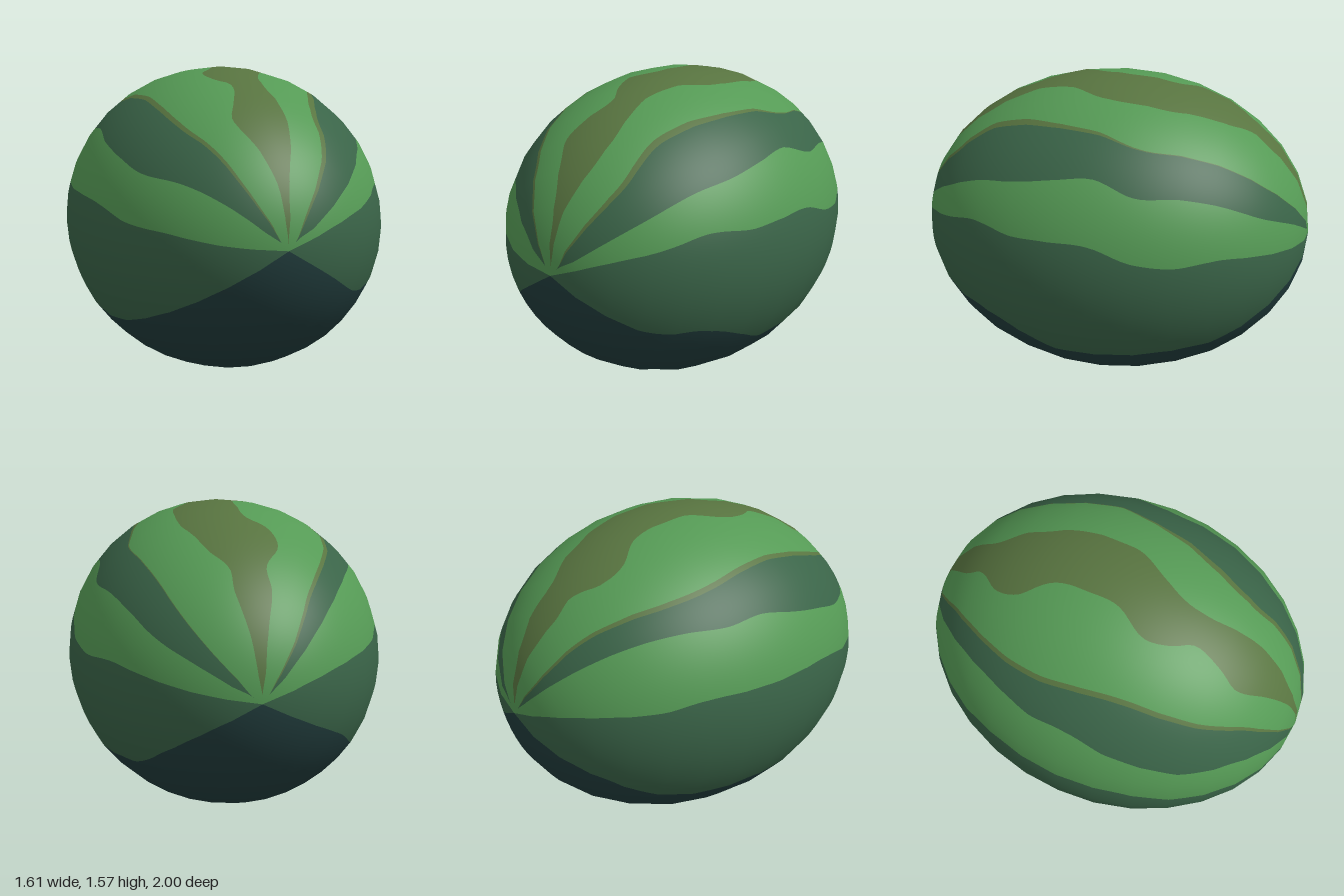
import * as THREE from 'three';

const RX = 0.805, RY = 0.785, RZ = 1;
const ROWS = 96, COLS = 12, STEP = Math.PI / 16;

const mat = (name, color) => {
  const m = new THREE.MeshStandardMaterial({ color });
  m.name = name;
  return m;
};

// Trig values along a coarse polygon, so the rind keeps its slightly faceted outline
const faceted = (fn) => (a) => {
  const k = Math.floor(a / STEP + 1e-9), f = a / STEP - k;
  return fn(k * STEP) * (1 - f) + fn((k + 1) * STEP) * f;
};
const fcos = faceted(Math.cos), fsin = faceted(Math.sin);

// Smooth curve of angle (degrees from the top) along the melon, front to back
const KEYS = [-0.97, -0.8, -0.6, -0.4, -0.2, 0, 0.2, 0.4, 0.6, 0.8, 0.97];
const curve = (values, keys = KEYS) => {
  const c = new THREE.CubicInterpolant(keys, values, 1, [0]);
  return (t) => c.evaluate(t)[0];
};
const plus = (f, g) => (t) => f(t) + g(t);
const neg = (f) => (t) => -f(t);

// Stripe pair that closes to a point just before each end
function pinch(f, g, mid, end) {
  const k = (t) => {
    const r = Math.sqrt(Math.max(0, 1 - t * t));
    return Math.sqrt(THREE.MathUtils.clamp((r - end) / 0.1, 0, 1));
  };
  const close = (h) => (t) => mid(t) + (h(t) - mid(t)) * k(t);
  return [close(f), close(g)];
}

// One band of rind between two angle curves
function band(name, from, to, material) {
  const pos = [], nor = [], idx = [];
  const n = new THREE.Vector3();
  for (let r = 0; r <= ROWS; r++) {
    const phi = (r / ROWS) * Math.PI, t = -Math.cos(phi);
    const a0 = from(t), a1 = to(t);
    for (let c = 0; c <= COLS; c++) {
      const a = THREE.MathUtils.degToRad(a0 + ((a1 - a0) * c) / COLS);
      const s = fsin(phi);
      pos.push(RX * s * fsin(a), RY + RY * s * fcos(a), RZ * fcos(phi));
      n.set(Math.sin(phi) * Math.sin(a) / RX, Math.sin(phi) * Math.cos(a) / RY, Math.cos(phi) / RZ).normalize();
      nor.push(n.x, n.y, n.z);
      if (r < ROWS && c < COLS) {
        const i = r * (COLS + 1) + c, j = i + COLS + 1;
        idx.push(i, i + 1, j, i + 1, j + 1, j);
      }
    }
  }
  const g = new THREE.BufferGeometry();
  g.setAttribute('position', new THREE.Float32BufferAttribute(pos, 3));
  g.setAttribute('normal', new THREE.Float32BufferAttribute(nor, 3));
  g.setIndex(idx);
  const mesh = new THREE.Mesh(g, material);
  mesh.name = name;
  return mesh;
}

export function createModel() {
  const light = mat('lightGreen', 0x559a55);
  const dark = mat('darkGreen', 0x3a6448);
  const olive = mat('olive', 0x587440);
  const teal = mat('deepTeal', 0x213c3c);

  // Edges on the left half (+x)
  const rimL = curve([30, 29.5, 24.5, 26.5, 31, 34.5, 39.5, 39, 39, 41, 43]);
  const darkInL = plus(rimL, curve([3, 3, 3, 3, 2, 1.2, 0.4, 0.3, 0.3, 0.3, 0.3]));
  const darkOutL = curve([53, 53, 52.5, 53.8, 53, 52, 57.3, 56, 56.5, 59, 58]);
  const sideL = curve([69, 71, 70, 74, 74.5, 75, 80, 81.6, 79, 79.6, 81]);
  const bellyL = curve([122, 122.8, 116.5, 119.5, 125.4, 124.5, 124.4, 124.7, 127.8, 124, 120]);

  // Edges on the right half (-x)
  const rimR = curve([31, 30.5, 33.5, 33.5, 33, 34.5, 36.5, 36, 33, 30, 32]);
  const darkInR = plus(rimR, () => 2);
  const darkOutR = curve([50, 54.5, 60, 58.5, 56, 52.5, 52.5, 49, 46, 44, 43]);
  const sideR = curve([85, 82.3, 81.7, 78, 77, 76.8, 76, 75, 76, 74, 71]);
  const bellyR = curve([123, 124, 125, 126, 125.5, 122.5, 123, 124.5, 124, 119.5, 118]);

  // Wavy centre stripe
  const keys = [-0.95, -0.82, -0.67, -0.58, -0.42, -0.32, -0.19, -0.03, 0.13, 0.32, 0.45, 0.58, 0.7, 0.8, 0.95];
  const [midR, midL] = pinch(
    curve([-4.5, -10.6, -15, -10.5, -5.9, -9.8, -11.3, -4.6, -3.6, -4.9, -12.9, -14.1, -8, -10.1, -6.9], keys),
    curve([4.5, 9.4, 10.1, 8.8, 6.7, 7.2, 10.9, 17.7, 19.4, 19.5, 17, 14.6, 9, 10.1, 6.9], keys),
    () => 0, 0.06);

  // Close the side stripes at both ends
  const half = (f, g) => (t) => (f(t) + g(t)) / 2;
  const cL = half(rimL, darkOutL), cR = half(rimR, darkOutR);
  const [rL, oL] = pinch(rimL, darkOutL, cL, 0.09), [iL] = pinch(darkInL, darkInL, cL, 0.09);
  const [rR, oR] = pinch(rimR, darkOutR, cR, 0.07), [iR] = pinch(darkInR, darkInR, cR, 0.07);

  // Bands in order around the melon
  const edges = [
    ['rightSideRind', neg(bellyR), dark],
    ['rightLowerLightBand', neg(sideR), light],
    ['rightDarkStripe', neg(oR), dark],
    ['rightStripeRim', neg(iR), olive],
    ['rightUpperLightBand', neg(rR), light],
    ['centreStripe', midR, olive],
    ['leftUpperLightBand', midL, light],
    ['leftStripeRim', rL, olive],
    ['leftDarkStripe', iL, dark],
    ['leftLowerLightBand', oL, light],
    ['leftSideRind', sideL, dark],
    ['belly', bellyL, teal],
  ];
  const melon = new THREE.Group();
  melon.name = 'melon';
  edges.forEach(([name, from, material], i) => {
    const to = i + 1 < edges.length ? edges[i + 1][1] : (t) => 360 - bellyR(t);
    melon.add(band(name, from, to, material));
  });
  return melon;
}
